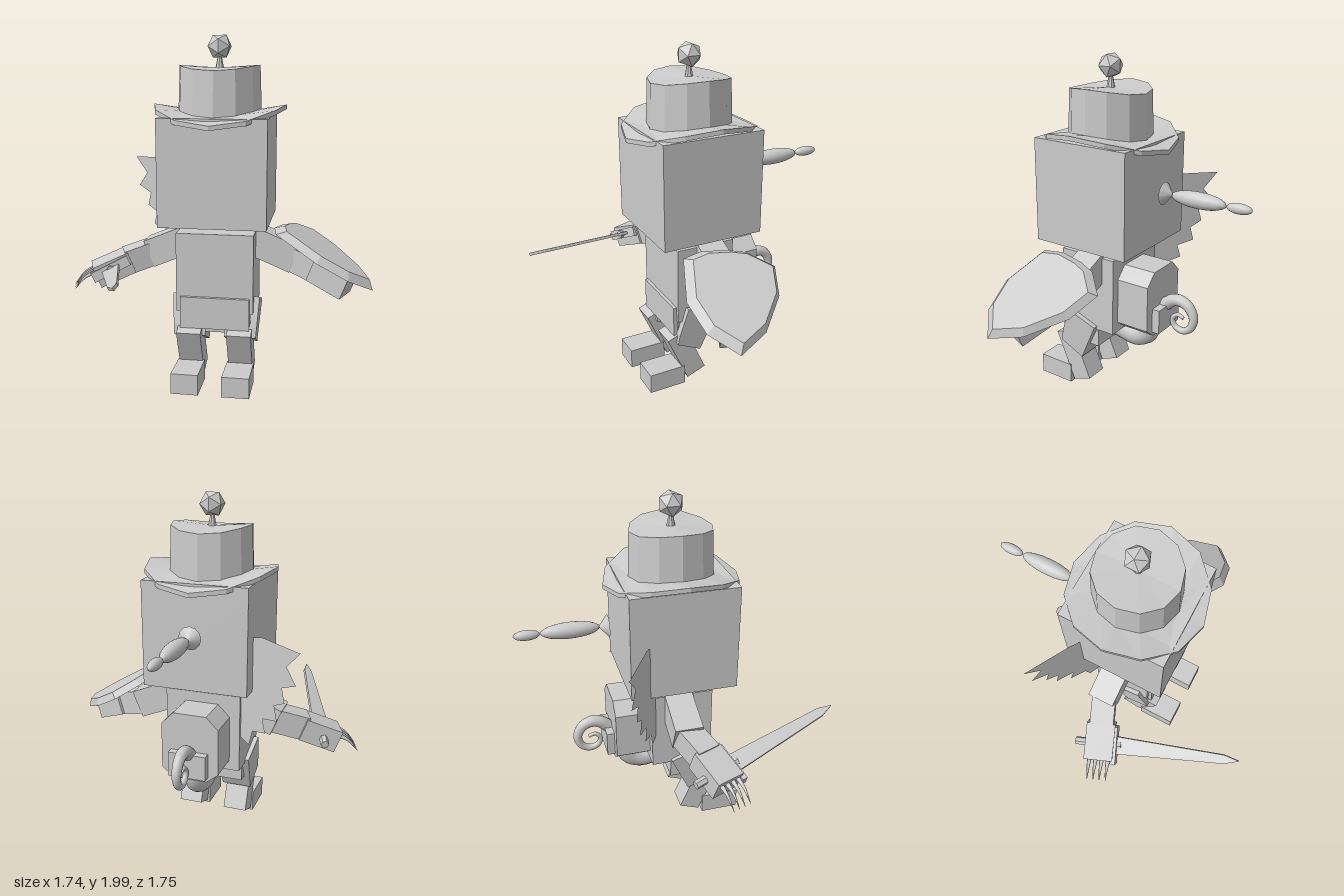
import * as THREE from 'three';

const CX = -0.015; // body centre line
const grey = new THREE.MeshStandardMaterial({ color: 0xcccccc, side: THREE.DoubleSide });
grey.name = 'light grey';

export function createModel() {
  const model = new THREE.Group();
  model.name = 'armedAdventurer';
  const V = (x, y, z) => new THREE.Vector3(x, y, z);

  function add(name, geometry, parent = model) {
    const mesh = new THREE.Mesh(geometry, grey);
    mesh.name = name;
    parent.add(mesh);
    return mesh;
  }
  // Axis-aligned box from its limits
  function box(name, x0, x1, y0, y1, z0, z1) {
    const m = add(name, new THREE.BoxGeometry(x1 - x0, y1 - y0, z1 - z0));
    m.position.set((x0 + x1) / 2, (y0 + y1) / 2, (z0 + z1) / 2);
    return m;
  }
  // Box limb running from a to b
  function limb(name, a, b, w, h) {
    const m = add(name, new THREE.BoxGeometry(w, h, a.distanceTo(b)));
    m.position.copy(a).add(b).multiplyScalar(0.5);
    m.lookAt(b);
    return m;
  }
  function flat(g) {
    const f = g.index ? g.toNonIndexed() : g;
    f.computeVertexNormals();
    return f;
  }
  const outline = pts => new THREE.Shape(pts.map(p => new THREE.Vector2(p[0], p[1])));
  function extrude(pts, depth) {
    return new THREE.ExtrudeGeometry(outline(pts), { depth, bevelEnabled: false });
  }
  // Tube whose radius runs from r0 to r1
  function taperTube(pts, r0, r1, rows, sides) {
    const curve = new THREE.CatmullRomCurve3(pts);
    const g = new THREE.TubeGeometry(curve, rows, r0, sides);
    const p = g.attributes.position, v = V(0, 0, 0);
    for (let i = 0; i < p.count; i++) {
      const u = Math.floor(i / (sides + 1)) / rows;
      const c = curve.getPointAt(u);
      v.fromBufferAttribute(p, i).sub(c).multiplyScalar(1 + (r1 / r0 - 1) * u).add(c);
      p.setXYZ(i, v.x, v.y, v.z);
    }
    return g;
  }
  // Bend up at the sides, down at front and back
  function saddle(g, k) {
    const p = g.attributes.position;
    for (let i = 0; i < p.count; i++) {
      const x = p.getX(i), z = p.getZ(i);
      p.setY(i, p.getY(i) + k * (x * x - z * z));
    }
    return flat(g);
  }

  // Head and body
  box('head', CX - 0.302, CX + 0.302, 0.945, 1.545, -0.296, 0.307);
  box('torso', -0.24, 0.205, 0.43, 0.89, -0.165, 0.19);
  box('pelvis', -0.22, 0.19, 0.31, 0.43, -0.05, 0.185);
  box('frontPlate', -0.215, 0.185, 0.335, 0.52, 0.18, 0.21);

  // Hat
  const brim = new THREE.LatheGeometry([[0.1, 0], [0.22, 0], [0.38, 0], [0.38, 0.025], [0.22, 0.03], [0.1, 0.03]]
    .map(p => new THREE.Vector2(...p)), 12);
  add('hatBrim', saddle(brim, 0.33)).position.set(CX, 1.535, 0.005);
  const crown = new THREE.CylinderGeometry(0.23, 0.24, 0.27, 12);
  add('hatCrown', saddle(crown, 0.3)).position.set(CX, 1.675, 0.005);
  add('hatStem', flat(new THREE.CylinderGeometry(0.01, 0.026, 0.08, 8))).position.set(CX, 1.84, 0.005);
  add('hatBobble', new THREE.IcosahedronGeometry(0.073, 0)).position.set(CX, 1.927, 0.005);

  // Plait behind the head
  const tie = add('plaitTie', new THREE.ConeGeometry(0.065, 0.055, 12));
  tie.rotation.x = -Math.PI / 2;
  tie.position.set(CX, 1.265, -0.382);
  for (const [z, len, r] of [[-0.565, 0.165, 0.046], [-0.802, 0.073, 0.029]]) {
    const bead = add('plaitBead', new THREE.SphereGeometry(1, 16, 12));
    bead.scale.set(r, r, len);
    bead.position.set(CX, 1.265, z);
  }

  // Legs: side profiles (z, y) given a width, flared outward at the thigh top
  const thigh = [[0.138, 0.52], [-0.053, 0.45], [0.053, 0.217], [0.2, 0.29], [0.19, 0.35]];
  const shin = [[0.254, 0.317], [0.138, 0.36], [0.01, 0.07], [0.127, 0.026]];
  for (const s of [-1, 1]) {
    const x = CX + s * 0.145;
    for (const [name, pts, w] of [['thigh', thigh, 0.18], ['shin', shin, 0.14]]) {
      const g = extrude(pts, w).rotateY(-Math.PI / 2).translate(w / 2, 0, 0);
      if (name === 'thigh') {
        const p = g.attributes.position;
        for (let i = 0; i < p.count; i++) if (p.getX(i) * s > 0) {
          p.setX(i, p.getX(i) + s * 0.07 * (p.getY(i) - 0.25));
        }
        g.computeVertexNormals();
      }
      add(name, g).position.x = x;
    }
    box('boot', x - 0.078, x + 0.078, 0, 0.12, 0.15, 0.375);

    // Arms
    const elbow = V(s * 0.43, 0.728, -0.01), wrist = V(s * 0.57, 0.68, 0.055);
    limb('upperArm', V(s * 0.1, 0.865, -0.01), elbow, 0.16, 0.165);
    limb('forearm', V(s * 0.4, 0.735, -0.015), wrist, 0.14, 0.14);
    limb('hand', V(s * 0.55, 0.685, 0.045), V(s * 0.74, 0.605, 0.12), 0.17, 0.13);
  }

  // Claws on the right hand
  for (let i = 0; i < 4; i++) {
    const z = 0.065 + i * 0.035, x = -0.735 + i * 0.012;
    add('claw', taperTube([V(x, 0.645, z), V(x - 0.08, 0.61, z + 0.025), V(x - 0.14, 0.54, z + 0.045)],
      0.017, 0.001, 6, 6));
  }

  // Sword, built along its own z axis
  const sword = new THREE.Group();
  sword.name = 'sword';
  const pommel = V(-0.71, 0.622, -0.05), along = V(-0.395, 0.765, 0.87).sub(pommel);
  const length = along.length();
  along.normalize();
  const across = V(0.85, 0.42, -0.35);
  across.addScaledVector(along, -across.dot(along)).normalize();
  const up = along.clone().cross(across);
  new THREE.Matrix4().makeBasis(across, up, along).decompose(sword.position, sword.quaternion, sword.scale);
  sword.position.copy(pommel);
  const blade = extrude([[-0.054, 0.23], [0.054, 0.23], [0.026, length - 0.09], [0, length], [-0.026, length - 0.09]], 0.018);
  blade.translate(0, 0, -0.009).rotateX(Math.PI / 2);
  add('blade', blade, sword);
  add('guard', new THREE.BoxGeometry(0.23, 0.06, 0.03), sword).position.z = 0.24;
  add('grip', flat(new THREE.CylinderGeometry(0.024, 0.024, 0.28, 6).rotateX(Math.PI / 2)), sword).position.z = 0.14;
  model.add(sword);

  // Shield: sloping plate with a narrower outer face
  const shieldPts = [[-0.13, -0.27], [0.05, -0.2], [0.23, -0.02], [0.31, 0.17], [0.15, 0.29],
    [-0.05, 0.315], [-0.31, 0.22], [-0.33, 0.1], [-0.3, -0.05], [-0.26, -0.15]];
  const plate = extrude(shieldPts.map(([a, z]) => [a, -z]), 0.04);
  const sp = plate.attributes.position;
  for (let i = 0; i < sp.count; i++) if (sp.getZ(i) > 0.02) {
    sp.setX(i, sp.getX(i) * 0.86);
    sp.setY(i, sp.getY(i) * 0.86);
  }
  plate.computeVertexNormals();
  plate.rotateX(-Math.PI / 2).rotateZ(-Math.PI / 6);
  add('shield', plate).position.set(0.6, 0.755, 0);

  // Ragged wing on the right of the back
  const wing = new THREE.ShapeGeometry(outline([[-0.24, 1.23], [-0.37, 1.27], [-0.615, 1.25], [-0.535, 1.155],
    [-0.595, 1.07], [-0.51, 1.03], [-0.53, 0.95], [-0.465, 0.915], [-0.485, 0.83], [-0.39, 0.81],
    [-0.41, 0.73], [-0.325, 0.71], [-0.3, 0.615], [-0.24, 0.64], [-0.2, 0.8]]));
  const wp = wing.attributes.position;
  for (let i = 0; i < wp.count; i++) wp.setZ(i, -0.18 + 0.6 * (wp.getX(i) + 0.3));
  wing.computeVertexNormals();
  add('wing', wing);

  // Backpack with clipped corners and a rear pocket
  const pack = extrude([[-0.11, 0.435], [0.085, 0.435], [0.155, 0.49], [0.155, 0.76], [0.085, 0.83],
    [-0.11, 0.83], [-0.18, 0.76], [-0.18, 0.49]], 0.2);
  add('backpack', pack).position.z = -0.365;
  box('pocket', -0.12, 0.1, 0.465, 0.61, -0.41, -0.36);

  // Tail: thick root below the pack and a curled end behind it
  const path = pts => pts.map(([z, y]) => V(CX, y, z));
  add('tailRoot', taperTube(path([[-0.02, 0.385], [-0.11, 0.365], [-0.19, 0.352], [-0.26, 0.385], [-0.285, 0.45], [-0.29, 0.52]]),
    0.073, 0.068, 18, 12));
  add('tailCurl', taperTube(path([[-0.34, 0.57], [-0.385, 0.605], [-0.43, 0.64], [-0.48, 0.65], [-0.535, 0.625],
    [-0.568, 0.56], [-0.55, 0.495], [-0.5, 0.465], [-0.45, 0.48], [-0.432, 0.525], [-0.465, 0.558], [-0.503, 0.545]]),
    0.042, 0.01, 48, 12));
  return model;
}
